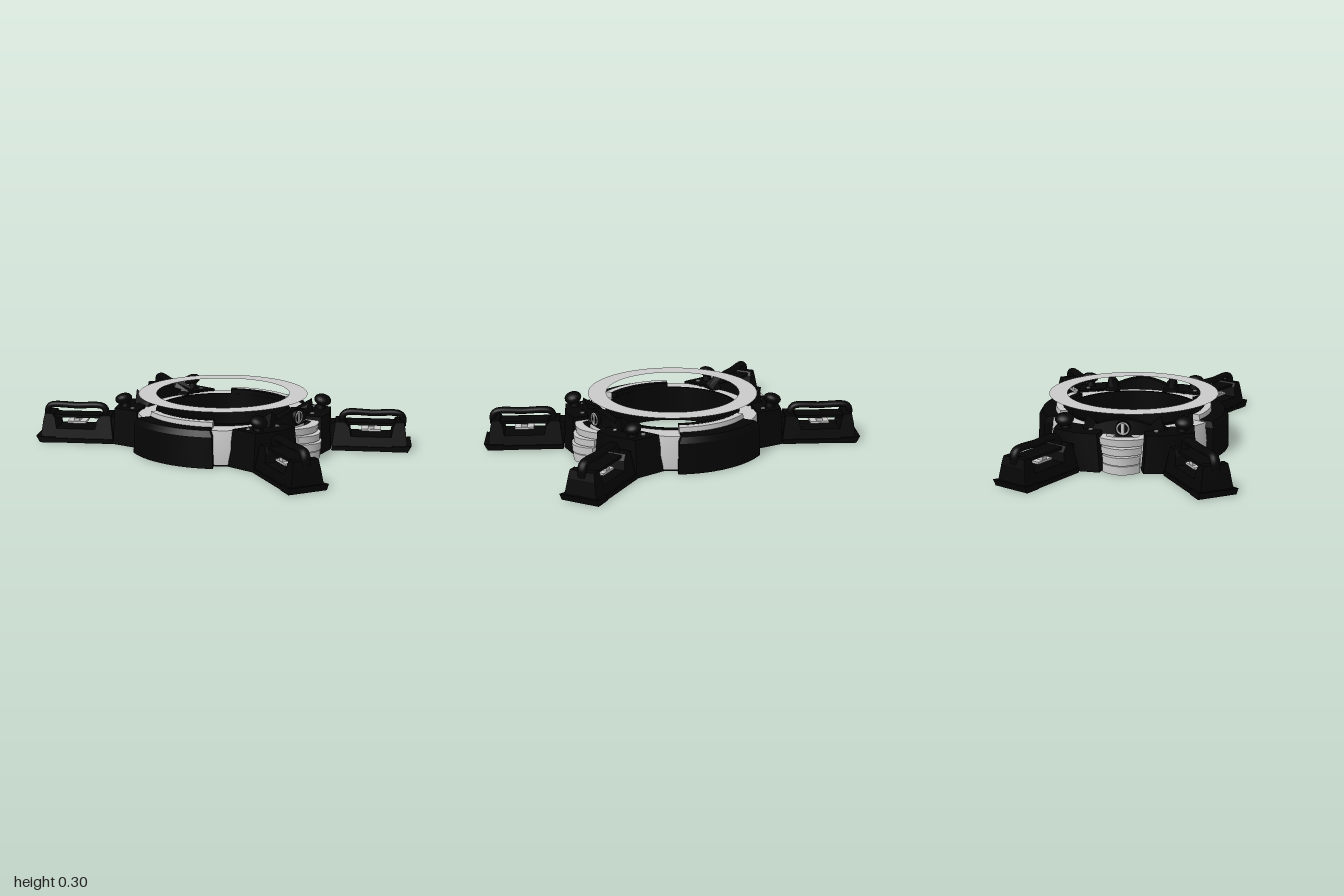
import * as THREE from 'three';
import { toCreasedNormals } from 'three/addons/utils/BufferGeometryUtils.js';

const grey = new THREE.MeshStandardMaterial({ color: 0xcccccc });
const greyThin = new THREE.MeshStandardMaterial({ color: 0xcccccc, side: THREE.DoubleSide });
const black = new THREE.MeshStandardMaterial({ color: 0x050505 });

function add(parent, name, geo, mat, x = 0, y = 0, z = 0) {
  const mesh = new THREE.Mesh(geo, mat);
  mesh.name = name;
  mesh.position.set(x, y, z);
  parent.add(mesh);
  return mesh;
}

const box = (w, h, d) => new THREE.BoxGeometry(w, h, d);
const toShape = (pts) => new THREE.Shape(pts.map(([x, y]) => new THREE.Vector2(x, y)));

// Ring with a closed (radius, height) profile
function ring(profile) {
  const pts = [...profile, profile[0]].map(([r, y]) => new THREE.Vector2(r, y));
  return toCreasedNormals(new THREE.LatheGeometry(pts, 96), 0.5);
}

// Horizontal slab from [x, z] corners, its top scaled about (cx, cz)
function slab(pts, y0, y1, hole, taper, cx, cz) {
  const flip = (list) => list.map(([x, z]) => [x, -z]);
  const shape = toShape(flip(pts));
  if (hole) shape.holes.push(toShape(flip(hole)));
  const geo = new THREE.ExtrudeGeometry(shape, { depth: y1 - y0, bevelEnabled: false });
  geo.rotateX(-Math.PI / 2).translate(0, y0, 0);
  const p = geo.attributes.position;
  for (let i = 0; i < p.count; i++) {
    if (p.getY(i) < (y0 + y1) / 2) continue;
    p.setX(i, cx + (p.getX(i) - cx) * taper);
    p.setZ(i, cz + (p.getZ(i) - cz) * taper);
  }
  return toCreasedNormals(geo, 0.6);
}

// Box bent around the ring; rTop is the outer radius at the top, top(t) its height for t in -1..1
function arcBlock(centre, half, r0, r1, rTop, y0, top, endTaper = 1) {
  const geo = new THREE.BoxGeometry(2, 1, 1, 28, 1, 1);
  const p = geo.attributes.position;
  for (let i = 0; i < p.count; i++) {
    const t = p.getX(i), up = p.getY(i) > 0, out = p.getZ(i) > 0;
    const a = centre + t * half * (up ? endTaper : 1);
    const r = out ? (up ? rTop : r1) : r0;
    p.setXYZ(i, Math.sin(a) * r, up ? top(t) : y0, Math.cos(a) * r);
  }
  return toCreasedNormals(geo, 0.5);
}

function makeRing(g) {
  add(g, 'ringBody', ring([[0.385, 0.01], [0.505, 0.01], [0.51, 0.1], [0.495, 0.2], [0.385, 0.2]]), grey);
  add(g, 'innerLiner', ring([[0.375, 0], [0.39, 0], [0.39, 0.21], [0.375, 0.21]]), black);
  add(g, 'baseRing', ring([[0.38, 0], [0.5, 0], [0.5, 0.012], [0.38, 0.012]]), black);
  // thin disc hovering over the body
  const disc = new THREE.RingGeometry(0.385, 0.49, 96).rotateX(-Math.PI / 2);
  add(g, 'topDisc', disc, greyThin, 0, 0.302, 0);
  // front and back armour
  for (const c of [0, Math.PI]) {
    add(g, 'armourPanel', arcBlock(c, 0.53, 0.48, 0.555, 0.55, 0, () => 0.175, 0.98), black);
    add(g, 'armourPanelBevel', arcBlock(c, 0.52, 0.45, 0.55, 0.53, 0.175, () => 0.208, 0.95), black);
    add(g, 'raisedPad', arcBlock(c, 0.505, 0.41, 0.455, 0.45, 0.195, () => 0.235), grey);
    add(g, 'padLining', arcBlock(c, 0.505, 0.377, 0.412, 0.412, 0.19, () => 0.236), black);
  }
}

// Side collar with a round badge and a layered bumper below it
function makeSide(g, s) {
  const crest = (t) => 0.205 + 0.07 * Math.cos(t * Math.PI / 2) ** 2;
  add(g, 'sideCollar', arcBlock(s * Math.PI / 2, 0.62, 0.46, 0.515, 0.505, 0.18, crest), black);

  const badge = new THREE.Group();
  badge.name = 'roundBadge';
  badge.position.set(s * 0.515, 0.23, 0);
  badge.rotation.y = s * Math.PI / 2;
  add(badge, 'badgeBack', new THREE.CylinderGeometry(0.042, 0.042, 0.02, 32).rotateX(Math.PI / 2), black);
  add(badge, 'badgeRim', new THREE.TorusGeometry(0.032, 0.005, 8, 32), grey, 0, 0, 0.01);
  add(badge, 'badgeBar', box(0.016, 0.055, 0.008), grey, 0, 0, 0.012);
  g.add(badge);

  const outer = [[0.47, -0.1], [0.52, -0.105], [0.6, -0.113], [0.63, -0.08], [0.652, -0.04], [0.66, 0],
    [0.652, 0.04], [0.63, 0.08], [0.6, 0.113], [0.52, 0.105], [0.47, 0.1]];
  const hole = [[0.515, -0.085], [0.565, -0.078], [0.58, -0.04], [0.585, 0], [0.58, 0.04], [0.565, 0.078], [0.515, 0.085]];
  // each layer: bottom, top, width, reach, flare
  const layers = [[0.005, 0.053, 0.9, 0.94, 1.01], [0.058, 0.103, 0.9, 0.98, 1.02],
    [0.108, 0.148, 0.96, 0.9, 1.02], [0.153, 0.193, 1.04, 0.76, 1.04]];
  for (const [y0, y1, kz, kx, flare] of layers) {
    const fit = (pts) => pts.map(([x, z]) => [s * (0.5 + (x - 0.5) * kx), z * kz]);
    add(g, 'bumperLayer', slab(fit(outer), y0, y1, fit(hole), flare, s * 0.5, 0), grey);
  }
}

// Corner block with a knob, a fin and small bolts
function makeShoulder(g, sx, sz) {
  const pts = [[0.32, 0.392], [0.5, 0.405], [0.585, 0.25], [0.6, 0.12], [0.53, 0.1], [0.44, 0.1], [0.385, 0.24]]
    .map(([x, z]) => [sx * x, sz * z]);
  add(g, 'shoulder', slab(pts, 0, 0.212, null, 0.88, sx * 0.48, sz * 0.25), black);

  const knob = new THREE.SphereGeometry(1, 20, 14).scale(0.049, 0.032, 0.052);
  add(g, 'knob', knob, black, sx * 0.478, 0.262, sz * 0.328).rotation.z = sx * -0.3;
  add(g, 'knobStem', new THREE.CylinderGeometry(0.022, 0.03, 0.05, 12), black, sx * 0.47, 0.225, sz * 0.32);

  // fin falling away towards the ring
  const fin = toShape([[0.225, 0.205], [0.205, 0.295], [0.17, 0.27], [0.135, 0.225], [0.13, 0.205]].map(([z, y]) => [-sz * z, y]));
  const finGeo = new THREE.ExtrudeGeometry(fin, { depth: 0.1, bevelEnabled: false });
  finGeo.translate(0, 0, -0.05).rotateY(Math.PI / 2);
  const p = finGeo.attributes.position;
  for (let i = 0; i < p.count; i++) if (p.getX(i) * sx < 0) p.setY(i, 0.205 + (p.getY(i) - 0.205) * 0.3);
  finGeo.computeVertexNormals();
  add(g, 'fin', finGeo, black, sx * 0.43, 0, 0);

  for (const [x, z] of [[0.41, 0.33], [0.5, 0.18]]) {
    add(g, 'bolt', new THREE.CylinderGeometry(0.012, 0.012, 0.012, 10), grey, sx * x, 0.212, sz * z);
  }
}

// Leg along its local x, turned to its own direction
function makeLeg(angle) {
  const leg = new THREE.Group();
  leg.name = 'leg';
  leg.rotation.y = angle;
  const profile = toShape([[0.635, 0], [1.07, 0], [1.055, 0.12], [1.045, 0.165], [1.0, 0.165], [0.985, 0.14],
    [0.975, 0.08], [0.745, 0.08], [0.735, 0.13], [0.71, 0.16], [0.655, 0.16]]);
  const frame = new THREE.ExtrudeGeometry(profile, { depth: 0.2, bevelEnabled: false }).translate(0, 0, -0.1);
  // sides lean inwards
  const p = frame.attributes.position;
  for (let i = 0; i < p.count; i++) p.setZ(i, p.getZ(i) * (1 - 1.7 * p.getY(i)));
  frame.computeVertexNormals();
  add(leg, 'legFrame', frame, black);
  add(leg, 'hinge', box(0.12, 0.13, 0.12), black, 0.6, 0.085, 0);

  // flared foot at the tip
  const foot = toShape([[0.98, 0], [1.07, 0], [1.091, 0.04], [1.045, 0.032], [0.98, 0.032]]);
  const footGeo = new THREE.ExtrudeGeometry(foot, { depth: 0.22, bevelEnabled: false });
  add(leg, 'foot', footGeo.translate(0, 0, -0.11), black);
  add(leg, 'sill', box(0.4, 0.025, 0.21), black, 0.84, 0.0125, 0);
  add(leg, 'spine', box(0.28, 0.016, 0.11), black, 0.86, 0.148, 0);
  add(leg, 'slider', box(0.11, 0.012, 0.108), grey, 0.86, 0.112, 0);
  add(leg, 'sliderBlock', box(0.035, 0.022, 0.1), grey, 0.86, 0.124, 0);

  // carrying rail along the middle
  const path = new THREE.CatmullRomCurve3([[0.695, 0.13], [0.695, 0.18], [0.715, 0.202], [0.865, 0.203],
    [1.02, 0.202], [1.04, 0.18], [1.04, 0.13]].map(([x, y]) => new THREE.Vector3(x, y, 0)), false, 'centripetal');
  add(leg, 'rail', new THREE.TubeGeometry(path, 48, 0.019, 12).scale(1, 1, 1.4), black);
  return leg;
}

export function createModel() {
  const g = new THREE.Group();
  g.name = 'ringBase';
  makeRing(g);
  for (const sx of [-1, 1]) {
    makeSide(g, sx);
    for (const sz of [-1, 1]) {
      makeShoulder(g, sx, sz);
      g.add(makeLeg(Math.atan2(-sz * 0.5, sx * Math.sqrt(0.75))));
    }
  }
  return g;
}
